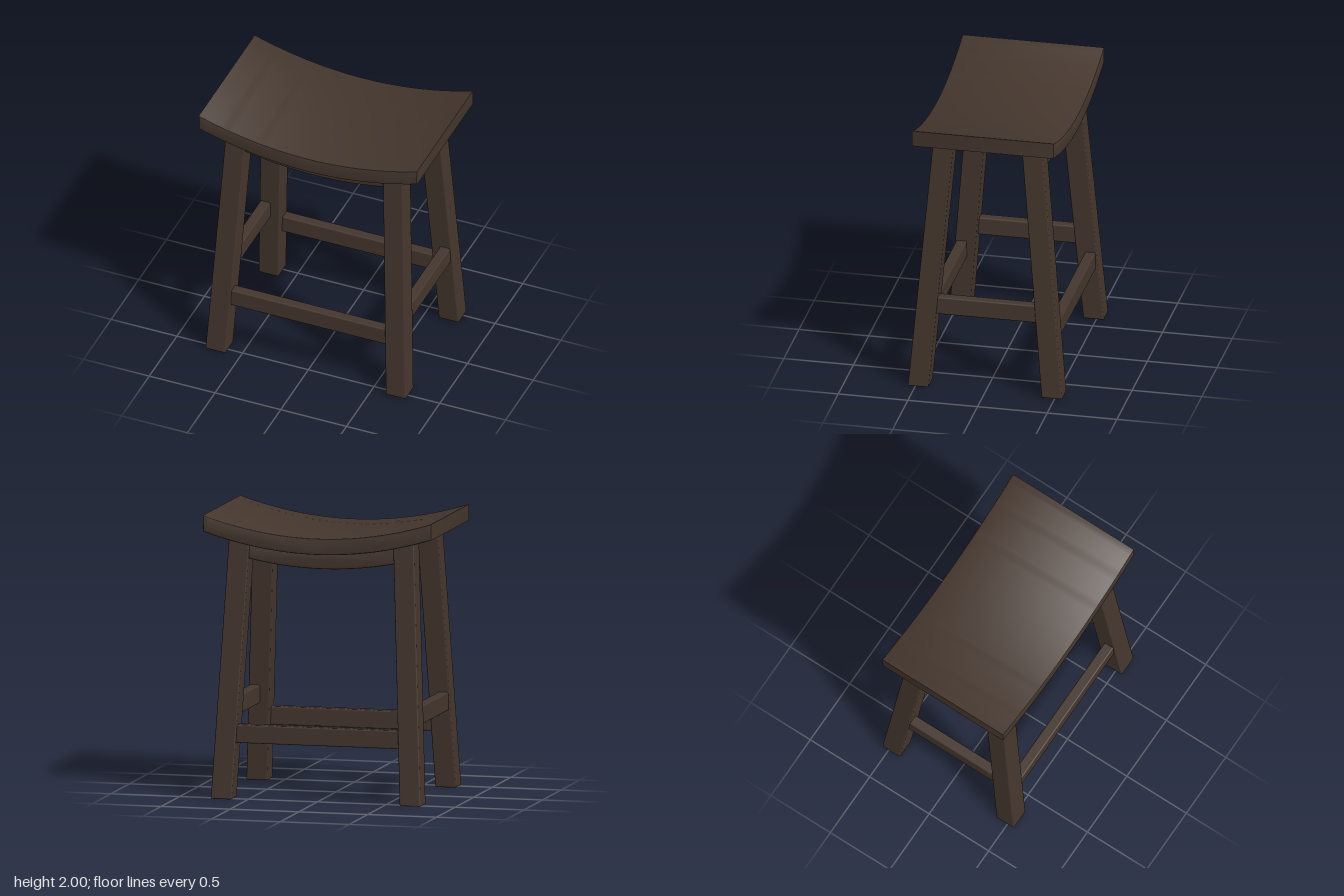
import * as THREE from 'three';
import { toCreasedNormals } from 'three/addons/utils/BufferGeometryUtils.js';
import { RoundedBoxGeometry } from 'three/addons/geometries/RoundedBoxGeometry.js';

const wood = new THREE.MeshStandardMaterial({ color: 0x44362d });
wood.name = 'dark brown wood';

const BEVEL = 0.01;

// Height of the saddle curve above its lowest point
const sag = (x) => 0.135 * (x / 0.83) ** 2;

// Board whose top and bottom follow the saddle curve, centred on z = 0
function curvedBoard(halfWidth, bottom, top, depth) {
  const steps = 32;
  const points = [];
  for (let i = 0; i <= steps; i++) {
    const x = -halfWidth + (2 * halfWidth * i) / steps;
    points.push(new THREE.Vector2(x, bottom + sag(x)));
  }
  for (let i = steps; i >= 0; i--) {
    const x = -halfWidth + (2 * halfWidth * i) / steps;
    points.push(new THREE.Vector2(x, top + sag(x)));
  }
  const geometry = new THREE.ExtrudeGeometry(new THREE.Shape(points), {
    depth: depth - 2 * BEVEL,
    bevelThickness: BEVEL,
    bevelSize: BEVEL,
    bevelOffset: -BEVEL,
    bevelSegments: 2,
  });
  geometry.translate(0, 0, BEVEL - depth / 2);
  return toCreasedNormals(geometry, 0.6);
}

export function createModel() {
  const model = new THREE.Group();
  model.name = 'saddleStool';

  const add = (name, geometry, x = 0, y = 0, z = 0) => {
    const mesh = new THREE.Mesh(geometry, wood);
    mesh.name = name;
    mesh.position.set(x, y, z);
    model.add(mesh);
  };

  // Curved seat
  add('seat', curvedBoard(0.83, 1.75, 1.865, 1.02));

  for (const sz of [1, -1]) {
    const end = sz > 0 ? 'front' : 'back';

    // Curved apron under the seat
    add(end + 'Apron', curvedBoard(0.56, 1.633, 1.748, 0.08), 0, 0, sz * 0.35);

    // Low stretcher between the legs
    add(end + 'Stretcher', new RoundedBoxGeometry(1.24, 0.13, 0.075, 2, BEVEL), 0, 0.46, sz * 0.462);

    // Splayed legs, sheared so that feet and tops stay level
    for (const sx of [1, -1]) {
      const leg = new RoundedBoxGeometry(0.152, 1.84, 0.148, 2, BEVEL);
      leg.translate(0, 0.92, 0);
      leg.applyMatrix4(new THREE.Matrix4().set(
        1, -sx * 0.049, 0, sx * 0.686,
        0, 1, 0, 0,
        0, -sz * 0.087, 1, sz * 0.48,
        0, 0, 0, 1,
      ));
      add(end + (sx > 0 ? 'LeftLeg' : 'RightLeg'), leg);
    }
  }

  // Higher stretchers on the two sides
  for (const sx of [1, -1]) {
    add(sx > 0 ? 'leftStretcher' : 'rightStretcher',
      new RoundedBoxGeometry(0.075, 0.13, 0.8, 2, BEVEL), sx * 0.684, 0.62, 0);
  }

  return model;
}
